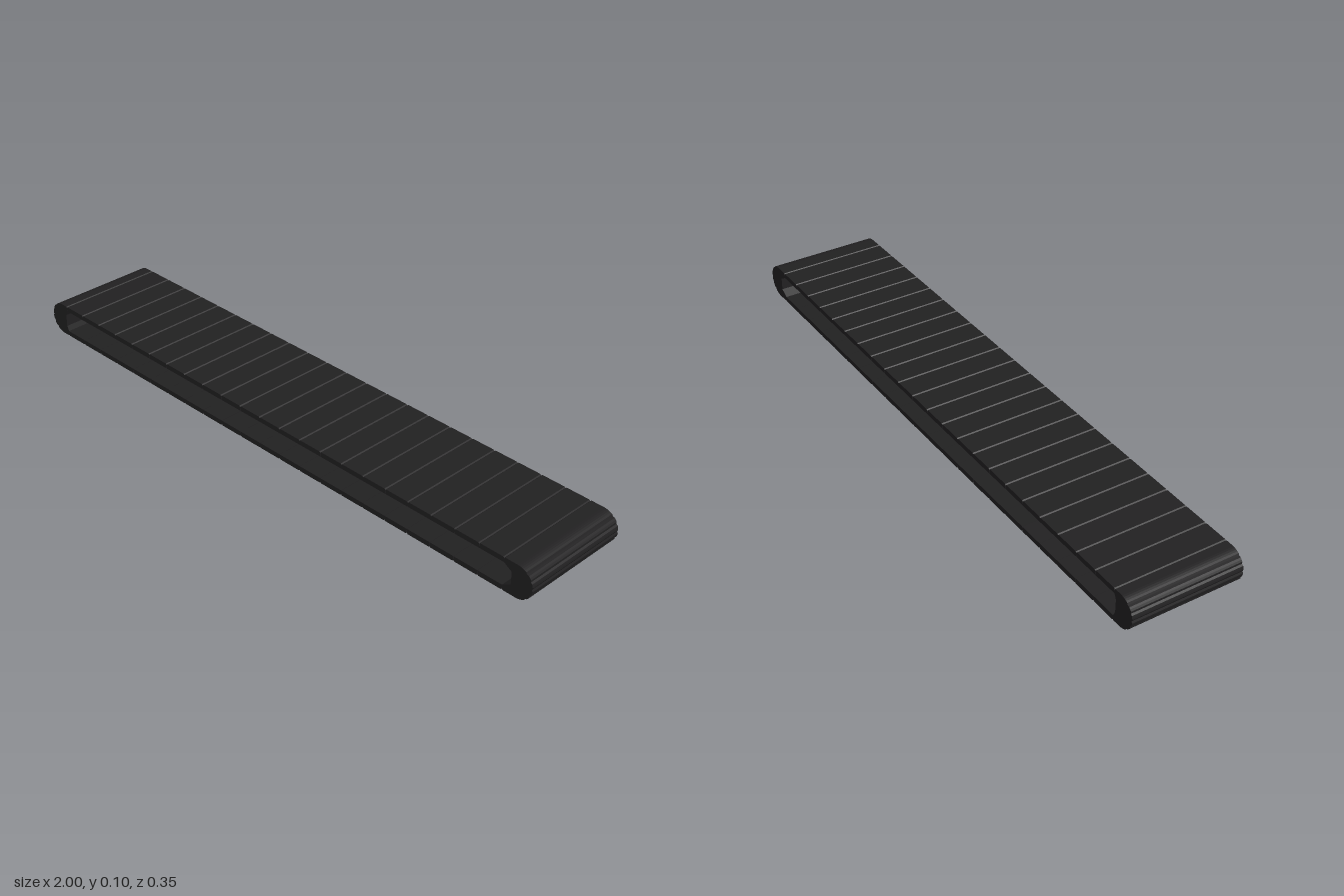
import * as THREE from 'three';

const DEPTH = 0.355;     // belt width along z
const R = 0.0525;        // outer radius of the rounded ends
const THICK = 0.016;     // slat thickness on the straight runs
const CX = 1 - R;        // centre of each end curve
const COUNT = 22;        // slats per straight run
const PITCH = 0.083;
const SHIFT = -0.01;     // slat joints sit slightly off centre
const GROOVE = 0.003;    // chamfer that forms the joint between slats

const material = new THREE.MeshStandardMaterial({ color: 0x222122, roughness: 0.8, side: THREE.DoubleSide });

// Extrude a side profile (measured from the belt's mid height) across the width
function addSlat(group, name, points) {
  const shape = new THREE.Shape(points.map(([x, y]) => new THREE.Vector2(x, y)));
  const geometry = new THREE.ExtrudeGeometry(shape, { depth: DEPTH, bevelEnabled: false });
  geometry.translate(0, R, -DEPTH / 2);
  const mesh = new THREE.Mesh(geometry, material);
  mesh.name = name;
  group.add(mesh);
}

// Points along the end curve from angle a to b (degrees), dipping into the joints
function arc(a, b, dipStart = true, dipEnd = true, steps = 4) {
  const points = [];
  for (let i = 0; i <= steps; i++) {
    const t = THREE.MathUtils.degToRad(a + (b - a) * i / steps);
    const dip = (i === 0 && dipStart) || (i === steps && dipEnd);
    const r = dip ? R - GROOVE : R;
    points.push([CX + r * Math.cos(t), r * Math.sin(t)]);
  }
  return points;
}

export function createModel() {
  const belt = new THREE.Group();
  belt.name = 'slattedBelt';

  // Straight slats of the upper and lower runs
  const half = COUNT * PITCH / 2;
  for (const sy of [1, -1]) {
    for (let i = 0; i < COUNT; i++) {
      const x0 = SHIFT - half + i * PITCH + 0.0003;
      const x1 = x0 + PITCH - 0.0006;
      addSlat(belt, sy > 0 ? 'upperSlat' : 'lowerSlat', [
        [x0, R - THICK], [x1, R - THICK], [x1, R - GROOVE],
        [x1 - GROOVE, R], [x0 + GROOVE, R], [x0, R - GROOVE],
      ].map(([x, y]) => [x, y * sy]));
    }
  }

  // Rounded ends: wedge slats fanned around the turn
  const step = 180 / 7;
  const innerX = 0.93, innerY = 0.02;
  for (const sx of [1, -1]) {
    const end = new THREE.Group();
    end.name = sx > 0 ? 'leftEnd' : 'rightEnd';
    belt.add(end);
    const start = half + SHIFT * sx;

    // Long slats that bend from the straight run into the turn
    for (const sy of [1, -1]) {
      addSlat(end, 'bendSlat', [
        [innerX, innerY], [start, R - THICK], [start, R - GROOVE], [start + GROOVE, R],
        ...arc(90, 2 * step, false, true, 6),
      ].map(([x, y]) => [x * sx, y * sy]));
    }

    // Short wedges across the tip
    for (let k = -2; k < 2; k++) {
      addSlat(end, 'turnSlat', [
        [innerX, innerY * k / 2],
        ...arc(k * step, (k + 1) * step),
        [innerX, innerY * (k + 1) / 2],
      ].map(([x, y]) => [x * sx, y]));
    }
  }
  return belt;
}
